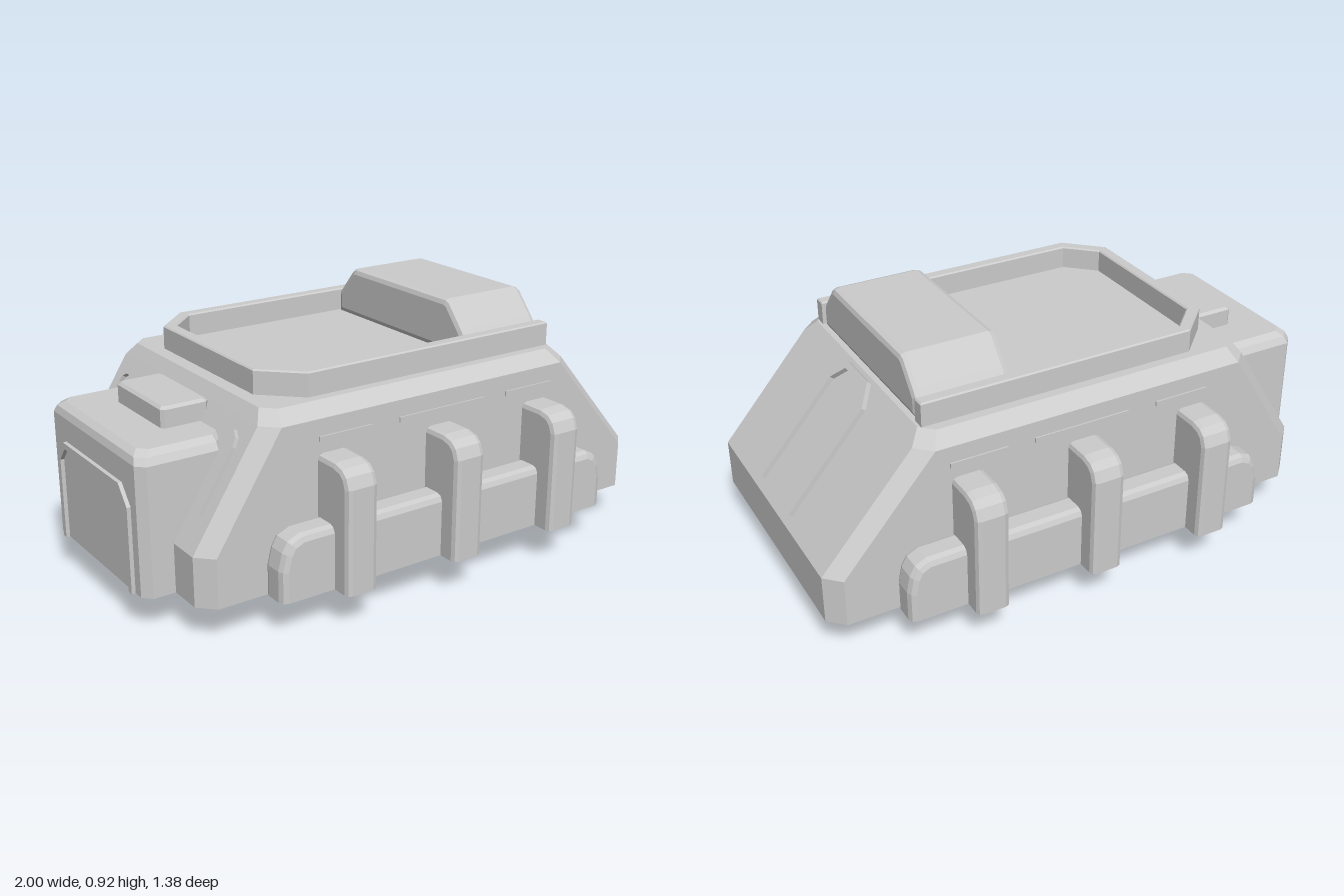
import * as THREE from 'three';

const BASE = 0.13; // lower rim of the hull
const material = new THREE.MeshStandardMaterial({ color: 0xcccccc, flatShading: true, side: THREE.DoubleSide });

function add(parent, name, geometry) {
  const mesh = new THREE.Mesh(geometry, material);
  mesh.name = name;
  parent.add(mesh);
  return mesh;
}

// Shell with an open bottom, lofted through corner-cut rectangles.
// Each level: [y, xMin, xMax, half depth, corner cut]
function loft(levels) {
  const rings = levels.map(([y, a, b, h, c]) => [
    [a + c, h], [b - c, h], [b, h - c], [b, c - h],
    [b - c, -h], [a + c, -h], [a, c - h], [a, h - c],
  ].map(([x, z]) => [x, y, z]));
  const out = [];
  for (let i = 0; i + 1 < rings.length; i++) {
    for (let j = 0; j < 8; j++) {
      const k = (j + 1) % 8;
      const [p, q, r, s] = [rings[i][j], rings[i][k], rings[i + 1][k], rings[i + 1][j]];
      out.push(...p, ...q, ...r, ...p, ...r, ...s);
    }
  }
  const top = rings[rings.length - 1];
  for (let j = 1; j < 7; j++) out.push(...top[0], ...top[j], ...top[j + 1]);
  const g = new THREE.BufferGeometry();
  g.setAttribute('position', new THREE.Float32BufferAttribute(out, 3));
  g.computeVertexNormals();
  return g;
}

// Bevelled extrusion that keeps the outline size, centred on its depth
function slab(points, depth, bevel, segments = 2) {
  const shape = new THREE.Shape(points.map(([x, y]) => new THREE.Vector2(x, y)));
  const g = new THREE.ExtrudeGeometry(shape, {
    depth: depth - 2 * bevel, bevelEnabled: bevel > 0, bevelSize: bevel,
    bevelThickness: bevel, bevelOffset: -bevel, bevelSegments: segments,
  });
  return g.translate(0, 0, bevel - depth / 2);
}

// Cut a geometry off at the hull rim and leave it open below
function cutAtRim(g) {
  const p = g.attributes.position;
  const out = [];
  for (let i = 0; i < p.count; i += 3) {
    const tri = [0, 1, 2].map((k) => [p.getX(i + k), Math.max(p.getY(i + k), BASE), p.getZ(i + k)]);
    if (tri.some((v) => v[1] > BASE + 1e-5)) out.push(...tri.flat());
  }
  const cut = new THREE.BufferGeometry();
  cut.setAttribute('position', new THREE.Float32BufferAttribute(out, 3));
  cut.computeVertexNormals();
  return cut;
}

// Mitred ribbon along an open polyline, raised by height
function ribbon(path, width, height, bevel = 0) {
  const pts = path.map(([x, y]) => new THREE.Vector2(x, y));
  const left = [], right = [];
  pts.forEach((p, i) => {
    const d0 = i > 0 ? p.clone().sub(pts[i - 1]).normalize() : null;
    const d1 = i + 1 < pts.length ? pts[i + 1].clone().sub(p).normalize() : null;
    const a = d0 || d1, b = d1 || d0;
    const n = new THREE.Vector2(-a.y - b.y, a.x + b.x).normalize();
    const w = width / 2 / (n.x * -a.y + n.y * a.x);
    left.push([p.x + n.x * w, p.y + n.y * w]);
    right.unshift([p.x - n.x * w, p.y - n.y * w]);
  });
  return slab([...left, ...right], height, bevel, 1);
}

// Lay a geometry on an end face rising from (x0,y0) to (x1,y1); side is the outward x sign
function ontoEnd(g, x0, y0, x1, y1, side) {
  const v = new THREE.Vector3(x1 - x0, y1 - y0, 0).normalize();
  const n = new THREE.Vector3(side * v.y, -side * v.x, 0);
  const u = v.clone().cross(n);
  return g.applyMatrix4(new THREE.Matrix4().makeBasis(u, v, n).setPosition(x0, y0, 0));
}

export function createModel() {
  const model = new THREE.Group();
  model.name = 'armouredModule';

  // Sloped hull, open underneath
  add(model, 'hull', loft([
    [BASE, -0.875, 1, 0.52, 0.055],
    [0.305, -0.875, 1, 0.52, 0.055],
    [0.69, -0.629, 0.664, 0.52, 0.055],
    [0.735, -0.6, 0.625, 0.47, 0.045],
  ]));

  // Rear box with a low cap
  add(model, 'rearBox', loft([
    [BASE, -0.985, -0.67, 0.34, 0.03],
    [0.585, -0.985, -0.67, 0.34, 0.03],
    [0.61, -0.977, -0.67, 0.325, 0.03],
    [0.627, -0.955, -0.67, 0.30, 0.03],
  ]));
  add(model, 'rearBoxCap', loft([
    [0.6, -0.81, -0.635, 0.168, 0.012],
    [0.69, -0.81, -0.635, 0.168, 0.012],
    [0.7, -0.8, -0.645, 0.158, 0.01],
  ]));

  // Mounting block underneath
  add(model, 'mountBlock', new THREE.BoxGeometry(0.245, 0.245, 0.25).translate(-0.003, 0.1225, 0));

  // Skirts, ribs and slits on both long sides
  const skirtOutline = [[-0.64, 0.05], [-0.64, 0.24], [-0.625, 0.3], [-0.605, 0.335], [-0.56, 0.355],
    [0.69, 0.355], [0.73, 0.335], [0.75, 0.3], [0.762, 0.24], [0.762, 0.05]];
  const ribOutline = [[0.5, 0.05], [0.5, 0.572], [0.61, 0.572], [0.65, 0.562], [0.675, 0.54], [0.69, 0.5], [0.69, 0.05]];
  for (const s of [1, -1]) {
    const side = new THREE.Group();
    side.name = s > 0 ? 'frontSide' : 'backSide';
    model.add(side);
    add(side, 'skirt', cutAtRim(slab(skirtOutline, 0.11, 0.025).translate(0, 0, s * 0.56)));
    for (const x of [-0.38, 0.06, 0.495]) {
      const rib = slab(ribOutline.map(([z, y]) => [s * z, y]), 0.12, 0.02).rotateY(-Math.PI / 2);
      add(side, 'rib', cutAtRim(rib.translate(x, 0, 0)));
    }
    for (const [a, b] of [[-0.435, -0.227], [-0.115, 0.25], [0.35, 0.56]]) {
      const slit = new THREE.BoxGeometry(b - a, 0.018, 0.014);
      add(side, 'sideSlit', slit.translate((a + b) / 2, 0.622, s * 0.519));
    }
  }

  // Raised trim on the sloped ends and on the rear box
  const arch = [[-0.133, 0.04], [-0.133, 0.475], [-0.078, 0.545], [0.078, 0.545], [0.133, 0.475], [0.133, 0.04]];
  add(model, 'slopeArch', ontoEnd(ribbon(arch, 0.024, 0.036), 1, 0.305, 0.625, 0.735, 1));
  for (const s of [1, -1]) {
    const hook = [[0.405, 0.12], [0.405, 0.36], [0.398, 0.388], [0.375, 0.405], [0.29, 0.405]].map(([u, v]) => [s * u, v]);
    add(model, 'slopeHook', ontoEnd(ribbon(hook, 0.018, 0.03), -0.875, 0.305, -0.6, 0.735, -1));
  }
  const doorTrim = [[-0.26, 0], [-0.26, 0.3], [-0.21, 0.36], [0.21, 0.36], [0.26, 0.3], [0.26, 0]];
  add(model, 'rearDoorTrim', ontoEnd(ribbon(doorTrim, 0.022, 0.028), -0.985, BASE, -0.985, 0.6, -1));

  // Roof rail, open at the +x end
  const rail = [[0.615, 0.413], [-0.41, 0.413], [-0.527, 0.3], [-0.527, -0.3], [-0.41, -0.413], [0.615, -0.413]];
  add(model, 'roofRail', ribbon(rail, 0.045, 0.095, 0.005).rotateX(-Math.PI / 2).translate(0, 0.773, 0));

  // Roof block with sloped shoulders
  const block = [[-0.385, 0.73], [-0.385, 0.81], [-0.365, 0.835], [-0.295, 0.915], [-0.275, 0.923],
    [0.275, 0.923], [0.295, 0.915], [0.365, 0.835], [0.385, 0.81], [0.385, 0.73]];
  add(model, 'roofBlock', slab(block, 0.345, 0.022).rotateY(-Math.PI / 2).translate(0.438, 0, 0));

  return model;
}
